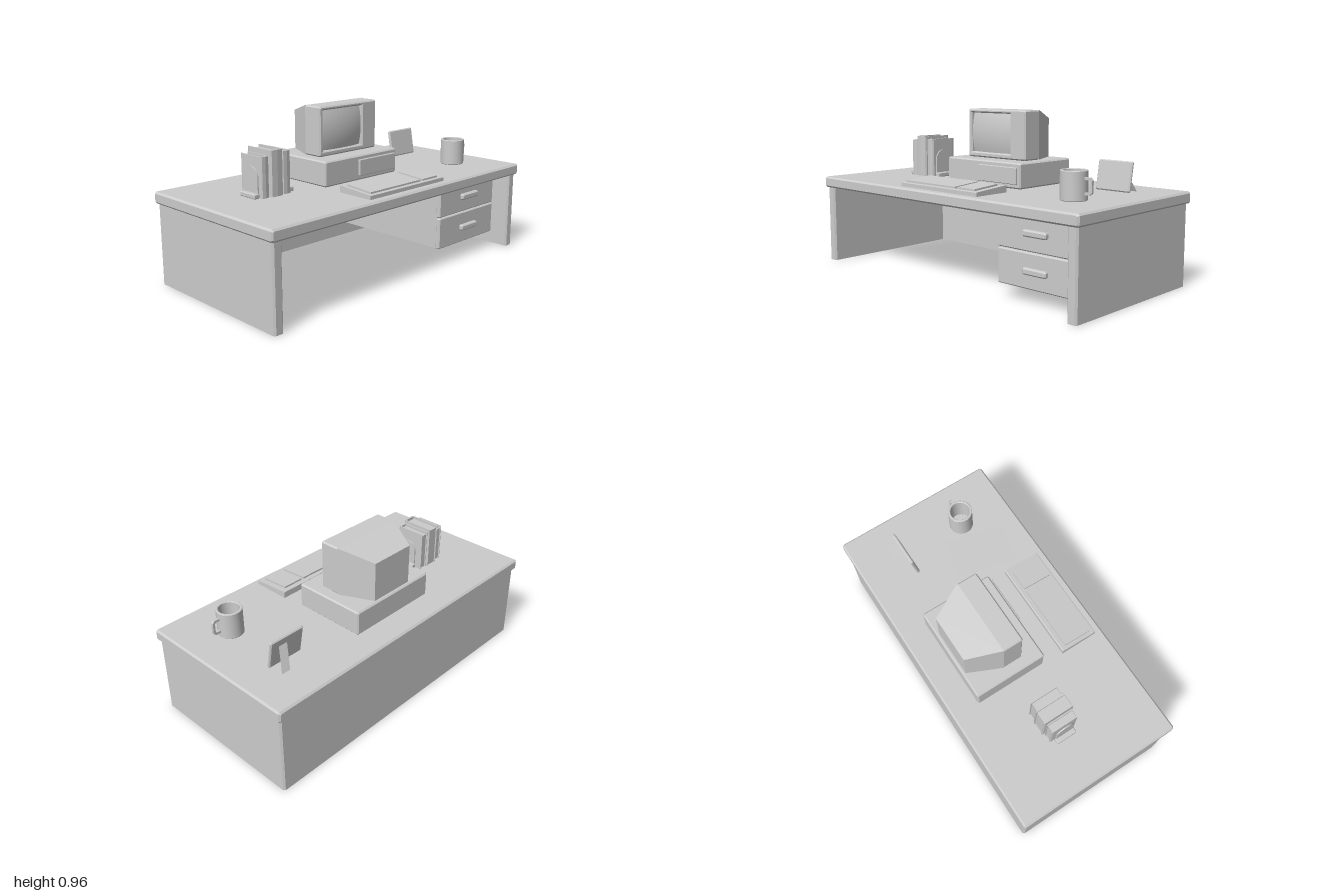
import * as THREE from 'three';
import { toCreasedNormals } from 'three/addons/utils/BufferGeometryUtils.js';

const grey = new THREE.MeshStandardMaterial({ color: 0xcccccc });
const greyThin = new THREE.MeshStandardMaterial({ color: 0xcccccc, side: THREE.DoubleSide });
const TOP = 0.53; // height of the desk surface

function add(parent, name, geometry, x = 0, y = 0, z = 0, material = grey) {
  const mesh = new THREE.Mesh(geometry, material);
  mesh.name = name;
  mesh.position.set(x, y, z);
  parent.add(mesh);
  return mesh;
}

function addGroup(parent, name, x = 0, y = 0, z = 0) {
  const group = new THREE.Group();
  group.name = name;
  group.position.set(x, y, z);
  parent.add(group);
  return group;
}

const polygon = (points) => new THREE.Shape(points.map(([x, y]) => new THREE.Vector2(x, y)));

// Rectangle with cut corners, centred on the origin
function cutRect(w, h, c) {
  const a = w / 2, b = h / 2;
  return polygon([[-a + c, -b], [a - c, -b], [a, -b + c], [a, b - c],
    [a - c, b], [-a + c, b], [-a, b - c], [-a, -b + c]]);
}

// Box with every edge chamfered, centred on the origin
function chamferBox(w, h, d, c) {
  const g = new THREE.ExtrudeGeometry(cutRect(w, h, c), {
    depth: d - 2 * c, bevelThickness: c, bevelSize: c, bevelOffset: -c, bevelSegments: 1,
  });
  return g.translate(0, 0, c - d / 2);
}

// Upright prism from a plan outline given as [x, z] pairs
function prism(plan, height) {
  const g = new THREE.ExtrudeGeometry(polygon(plan.map(([x, z]) => [x, -z])), { depth: height, bevelEnabled: false });
  return g.rotateX(-Math.PI / 2);
}

// Prism along x from a side outline given as [z, y] pairs
function sideExtrude(shape, width) {
  const g = new THREE.ExtrudeGeometry(shape, { depth: width, bevelEnabled: false, curveSegments: 16 });
  return g.translate(0, 0, -width / 2).rotateY(-Math.PI / 2).scale(1, 1, 1);
}

function buildDesk(root) {
  const desk = addGroup(root, 'desk');
  add(desk, 'desktop', chamferBox(2, 0.066, 1, 0.01), 0, 0.497, 0);
  // Two sides and the back as one U in plan
  const c = 0.01, o = 0.985, i = 0.925, f = 0.485;
  const half = [[i, -0.43], [i, f - c], [i + c, f], [o - c, f], [o, f - c], [o, -f + c], [o - c, -f]];
  const plan = [...half, ...half.map(([x, z]) => [-x, z]).reverse()];
  add(desk, 'sidesAndBack', prism(plan, 0.466));
  // Drawer unit
  add(desk, 'drawerCabinet', new THREE.BoxGeometry(0.54, 0.385, 0.78), 0.655, 0.2725, -0.04);
  for (const y of [0.173, 0.368]) {
    const drawer = addGroup(desk, 'drawer', 0.648, y, 0.36);
    add(drawer, 'drawerFront', chamferBox(0.537, 0.19, 0.03, 0.006));
    add(drawer, 'drawerHandle', chamferBox(0.155, 0.035, 0.03, 0.007), 0, 0.003, 0.027);
  }
}

function buildComputer(root) {
  const computer = addGroup(root, 'computer');
  add(computer, 'baseUnit', chamferBox(0.58, 0.145, 0.44, 0.008), 0, TOP + 0.0725, -0.12);
  add(computer, 'drivePanel', chamferBox(0.3, 0.095, 0.02, 0.003), 0.118, 0.603, 0.102);

  // Monitor: bezel with an opening, tapering housing and bulged glass
  const monitor = addGroup(computer, 'monitor', 0, 0.8175, 0);
  const bezel = cutRect(0.455, 0.285, 0.008);
  bezel.holes.push(polygon([[-0.199, -0.111], [-0.199, 0.12], [0.109, 0.12], [0.109, -0.111]]));
  add(monitor, 'bezel', new THREE.ExtrudeGeometry(bezel, {
    depth: 0.112, bevelThickness: 0.008, bevelSize: 0.008, bevelOffset: -0.008, bevelSegments: 1,
  }), 0, 0, -0.13);

  const rear = new THREE.BoxGeometry(0.455, 0.285, 0.193);
  const p = rear.attributes.position;
  for (let k = 0; k < p.count; k++) {
    if (p.getZ(k) > 0) continue;
    p.setX(k, p.getX(k) * 0.61);
    if (p.getY(k) > 0) p.setY(k, 0.0875);
  }
  rear.computeVertexNormals();
  add(monitor, 'rearHousing', rear, 0, 0, -0.2265);

  const glass = new THREE.PlaneGeometry(0.308, 0.231, 14, 12);
  const q = glass.attributes.position;
  for (let k = 0; k < q.count; k++) {
    const u = q.getX(k) / 0.154, v = q.getY(k) / 0.1155;
    q.setZ(k, -0.004 - 0.016 * (u * u + v * v));
  }
  glass.computeVertexNormals();
  add(monitor, 'screen', glass, -0.045, 0.0045, 0);
}

function buildKeyboard(root) {
  const keyboard = addGroup(root, 'keyboard');
  const wedge = polygon([[0.225, TOP], [0.453, TOP], [0.453, 0.551], [0.448, 0.553], [0.23, 0.569], [0.225, 0.567]]);
  add(keyboard, 'keyboardBody', sideExtrude(wedge, 0.605));
  const keys = polygon([[0.256, 0.56], [0.433, 0.548], [0.433, 0.564], [0.256, 0.577]]);
  for (const [x, w] of [[-0.08, 0.4], [0.203, 0.13]]) add(keyboard, 'keyBlock', sideExtrude(keys, w), x);
  // Outlines are drawn in z, so the group faces forward as built
}

function buildMug(root) {
  const mug = addGroup(root, 'mug', 0.728, TOP, 0.185);
  const profile = [[0, 0], [0.069, 0], [0.072, 0.003], [0.072, 0.151], [0.069, 0.154],
    [0.061, 0.154], [0.058, 0.151], [0.058, 0.012], [0, 0.012]].map(([x, y]) => new THREE.Vector2(x, y));
  add(mug, 'cup', toCreasedNormals(new THREE.LatheGeometry(profile, 32), 0.6));
  // Handle: a D-shaped loop on the model's left
  const loop = polygon([[0.066, 0.032], [0.1, 0.032], [0.117, 0.046], [0.117, 0.108], [0.106, 0.122], [0.066, 0.122]]);
  loop.holes.push(polygon([[0.066, 0.046], [0.066, 0.108], [0.099, 0.108], [0.103, 0.102], [0.103, 0.054], [0.096, 0.046]]));
  add(mug, 'mugHandle', new THREE.ExtrudeGeometry(loop, { depth: 0.014, bevelEnabled: false }), 0, 0, -0.007);
}

function buildPictureFrame(root) {
  const stand = addGroup(root, 'pictureFrame');
  const panel = add(stand, 'framePanel', chamferBox(0.22, 0.168, 0.02, 0.006), 0.695, 0.615, -0.215);
  panel.rotation.x = -0.17;
  // Slanted prop behind the panel
  const prop = new THREE.BufferGeometry();
  prop.setAttribute('position', new THREE.Float32BufferAttribute([
    0.79, TOP, -0.29, 0.735, TOP, -0.29, 0.695, 0.655, -0.23, 0.75, 0.655, -0.23], 3));
  prop.setIndex([0, 1, 2, 0, 2, 3]);
  prop.computeVertexNormals();
  add(stand, 'frameProp', prop, 0, 0, 0, greyThin);
}

function buildBooks(root) {
  const books = addGroup(root, 'books');
  // Centre x, width, height, back z, front z
  const sizes = [[-0.662, 0.053, 0.222, -0.13, 0.045], [-0.59, 0.082, 0.25, -0.143, 0.055], [-0.518, 0.056, 0.234, -0.135, 0.046]];
  for (const [x, w, h, back, front] of sizes) {
    const book = addGroup(books, 'book', x, TOP, 0);
    const a = w / 2, t = 0.007;
    add(book, 'bookCover', prism([[-a + 0.004, back], [-a, back + 0.01], [-a, front - 0.012], [-a + 0.006, front - 0.003],
      [0, front], [a - 0.006, front - 0.003], [a, front - 0.012], [a, back + 0.01], [a - 0.004, back], [a - t, back],
      [a - t, front - 0.014], [-a + t, front - 0.014], [-a + t, back]], h));
    const depth = front - back - 0.02;
    add(book, 'bookPages', new THREE.BoxGeometry(w - 2 * t + 0.002, h - 0.015, depth), 0, (h - 0.015) / 2, back + 0.008 + depth / 2);
  }
  // Bookends: foot and arched plate on each side
  for (const [x, s] of [[-0.69, -1], [-0.489, 1]]) {
    const bookend = addGroup(books, 'bookend', x, TOP, -0.037);
    add(bookend, 'bookendFoot', chamferBox(0.034, 0.026, 0.125, 0.004), s * 0.017, 0.013, 0);
    const arch = new THREE.Shape();
    arch.moveTo(-0.056, 0).lineTo(0.056, 0).lineTo(0.056, 0.11);
    arch.absarc(0, 0.11, 0.056, 0, Math.PI, false);
    add(bookend, 'bookendArch', sideExtrude(arch, 0.007), s * 0.0035, 0, 0);
  }
}

export function createModel() {
  const root = new THREE.Group();
  root.name = 'officeDesk';
  buildDesk(root);
  buildComputer(root);
  buildKeyboard(root);
  buildMug(root);
  buildPictureFrame(root);
  buildBooks(root);
  // Sheet of paper lying on the desk
  const paper = add(root, 'paper', new THREE.PlaneGeometry(0.245, 0.37), 0.508, TOP + 0.002, 0.186, greyThin);
  paper.rotation.set(-Math.PI / 2, 0, -0.25);
  return root;
}
